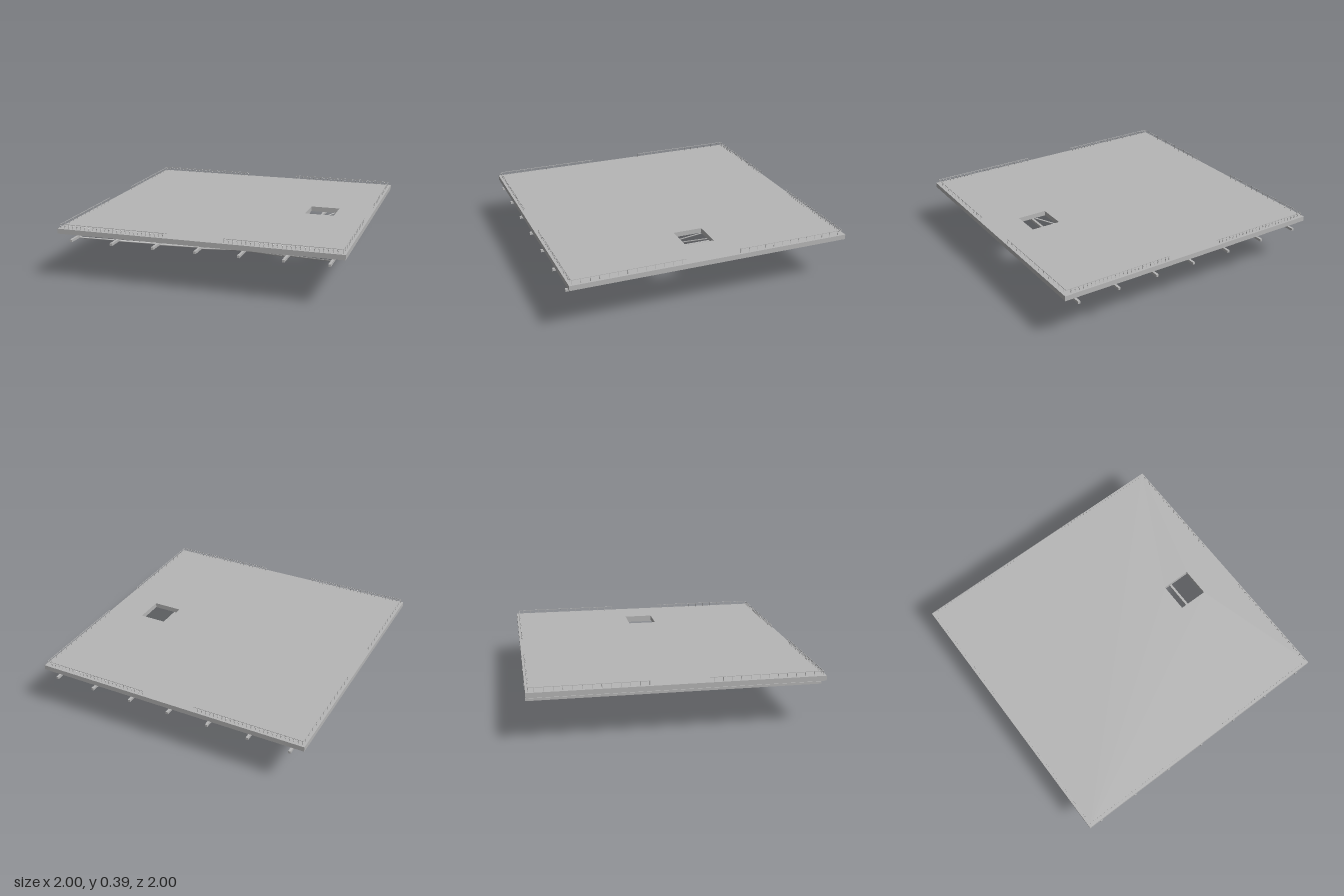
import * as THREE from 'three';

const concrete = new THREE.MeshStandardMaterial({ color: 0xb6b6b6 });
concrete.name = 'grey';

const TOP = 0.366, BOTTOM = 0.331, RAIL_Y = 0.395, EDGE = 0.982;

export function createModel() {
  const model = new THREE.Group();
  model.name = 'platform';

  const add = (parent, name, geometry, x = 0, y = 0, z = 0) => {
    const mesh = new THREE.Mesh(geometry, concrete);
    mesh.name = name;
    mesh.position.set(x, y, z);
    parent.add(mesh);
    return mesh;
  };

  // Square slab with a rectangular stair opening
  const outline = new THREE.Shape();
  outline.moveTo(-1, -1).lineTo(1, -1).lineTo(1, 1).lineTo(-1, 1).closePath();
  const opening = new THREE.Path();
  opening.moveTo(0.53, -0.1).lineTo(0.53, 0.11).lineTo(0.742, 0.11).lineTo(0.742, -0.1).closePath();
  outline.holes.push(opening);
  const slab = new THREE.ExtrudeGeometry(outline, { depth: TOP - BOTTOM, bevelEnabled: false });
  slab.rotateX(-Math.PI / 2);
  add(model, 'slab', slab, 0, BOTTOM, 0);

  // Beams under the slab, each held by two struts from a common foot
  const beamGeometry = new THREE.BoxGeometry(0.017, 0.017, 2);
  const foot = new THREE.Vector3(0, 0.007, 0);
  const up = new THREE.Vector3(0, 1, 0);
  for (let i = -3; i <= 3; i++) {
    const x = i * 0.3;
    add(model, 'beam', beamGeometry, x, 0.287, 0);
    for (const side of [-1, 1]) {
      const head = new THREE.Vector3(x, 0.283, side * 0.89);
      const along = head.clone().sub(foot);
      const strut = add(model, 'strut', new THREE.CylinderGeometry(0.005, 0.005, along.length(), 8));
      strut.position.copy(foot).addScaledVector(along, 0.5);
      strut.quaternion.setFromUnitVectors(up, along.normalize());
    }
  }

  // One railing run along x: rail, posts and optional knobs
  const railing = (name, start, end, spacing, knobs) => {
    const run = new THREE.Group();
    run.name = name;
    const length = end - start;
    add(run, 'handrail', new THREE.BoxGeometry(length, 0.003, 0.003), start + length / 2, RAIL_Y, 0);
    const post = new THREE.BoxGeometry(0.003, RAIL_Y - TOP, 0.003);
    const knob = new THREE.OctahedronGeometry(0.006);
    for (let x = start + 0.002; x < end - 0.01; x += spacing) {
      add(run, 'post', post, x, (RAIL_Y + TOP) / 2, 0);
      if (knobs) add(run, 'knob', knob, x, 0.384, 0);
    }
    model.add(run);
    return run;
  };

  // Railings on all four edges, open in the middle of each
  for (const side of [-1, 1]) {
    for (const [start, end] of [[-EDGE, -0.2], [0.195, EDGE]]) {
      railing(side > 0 ? 'frontRailing' : 'backRailing', start, end, 0.03, true).position.z = side * EDGE;
      const sideRun = railing(side > 0 ? 'leftRailing' : 'rightRailing', start, end, 0.0625, false);
      sideRun.rotation.y = Math.PI / 2;
      sideRun.position.x = side * EDGE;
    }
  }

  return model;
}
